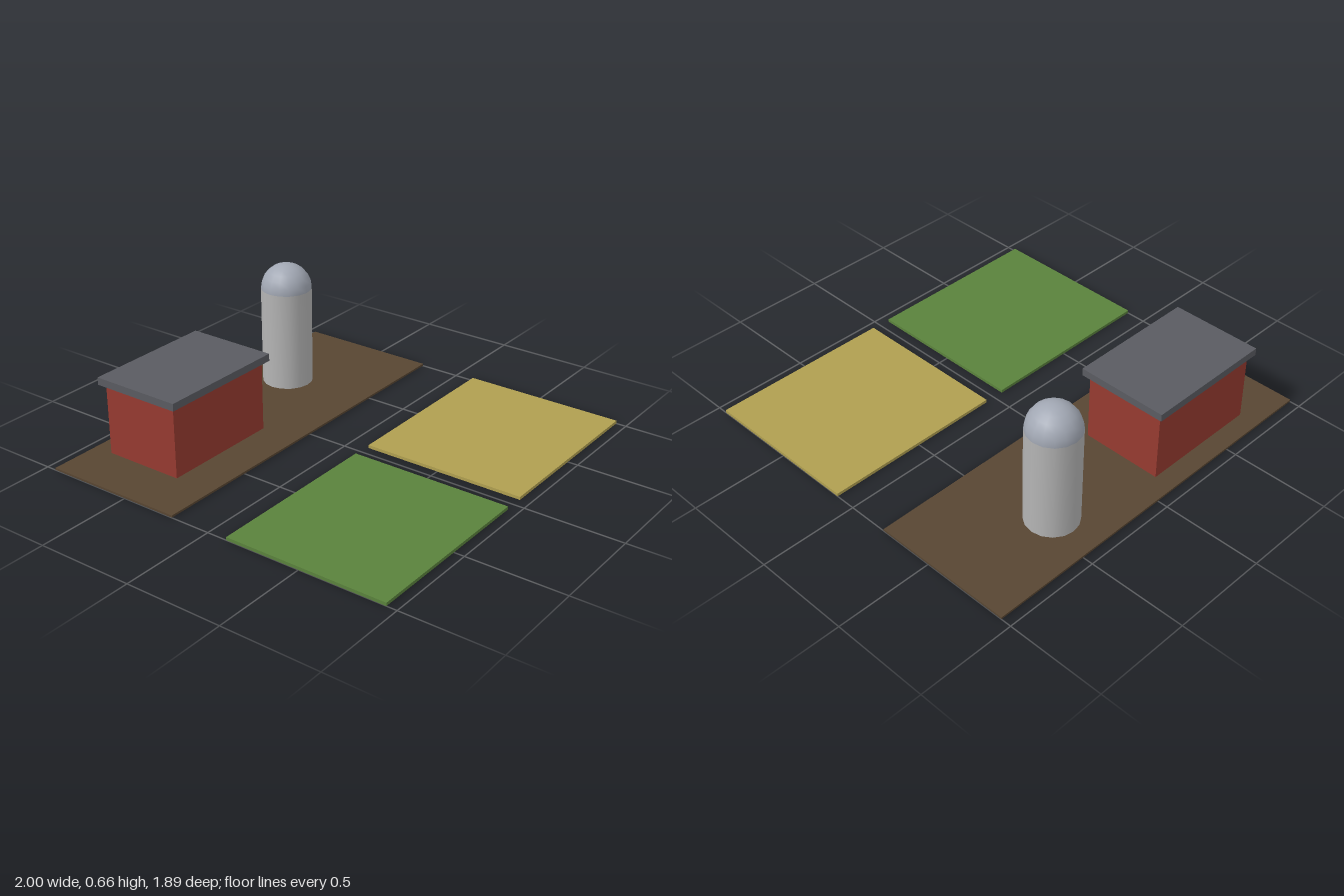
import * as THREE from 'three';

// Layout is measured in units of which 38 span the model's width
const U = 1 / 19;

export function createModel() {
  const root = new THREE.Group();
  root.name = 'farm';

  const add = (parent, name, geometry, color, x, y, z) => {
    const mesh = new THREE.Mesh(geometry, new THREE.MeshStandardMaterial({ color }));
    mesh.name = name;
    mesh.position.set(x, y, z);
    parent.add(mesh);
    return mesh;
  };
  // Box placed by the centre of its underside
  const slab = (parent, name, color, [w, h, d], x, y, z) =>
    add(parent, name, new THREE.BoxGeometry(w, h, d), color, x, y + h / 2, z);
  const group = (name, x, y, z) => {
    const g = new THREE.Group();
    g.name = name;
    g.position.set(x, y, z);
    root.add(g);
    return g;
  };

  // Ground: two crop fields in front, farmyard behind
  slab(root, 'greenField', 0x5a823c, [18, 0.3, 16], -10, 0, 10);
  slab(root, 'wheatField', 0xb09f50, [18, 0.3, 16], 10, 0, 10);
  slab(root, 'farmyard', 0x584632, [38, 0.2, 14], 0, 0.02, -11);

  // Barn with an overhanging flat roof
  const barn = group('barn', -8, 0.05, -12);
  slab(barn, 'barnWalls', 0x963a30, [12, 7.08, 8], 0, 0, 0);
  slab(barn, 'barnRoof', 0x5a5b61, [13, 0.72, 9], 0, 7.08, 0);

  // Silo with a domed cap
  const silo = group('silo', 8, 0.05, -13);
  add(silo, 'siloBody', new THREE.CylinderGeometry(2.5, 2.5, 10, 16), 0xb4b4b4, 0, 5, 0);
  add(silo, 'siloDome',
    new THREE.SphereGeometry(2.5, 16, 6, 0, Math.PI * 2, 0, Math.PI / 2), 0xa2a8b4, 0, 10, 0);

  root.scale.setScalar(U);
  const model = new THREE.Group();
  model.name = 'farmModel';
  model.add(root);
  return model;
}
